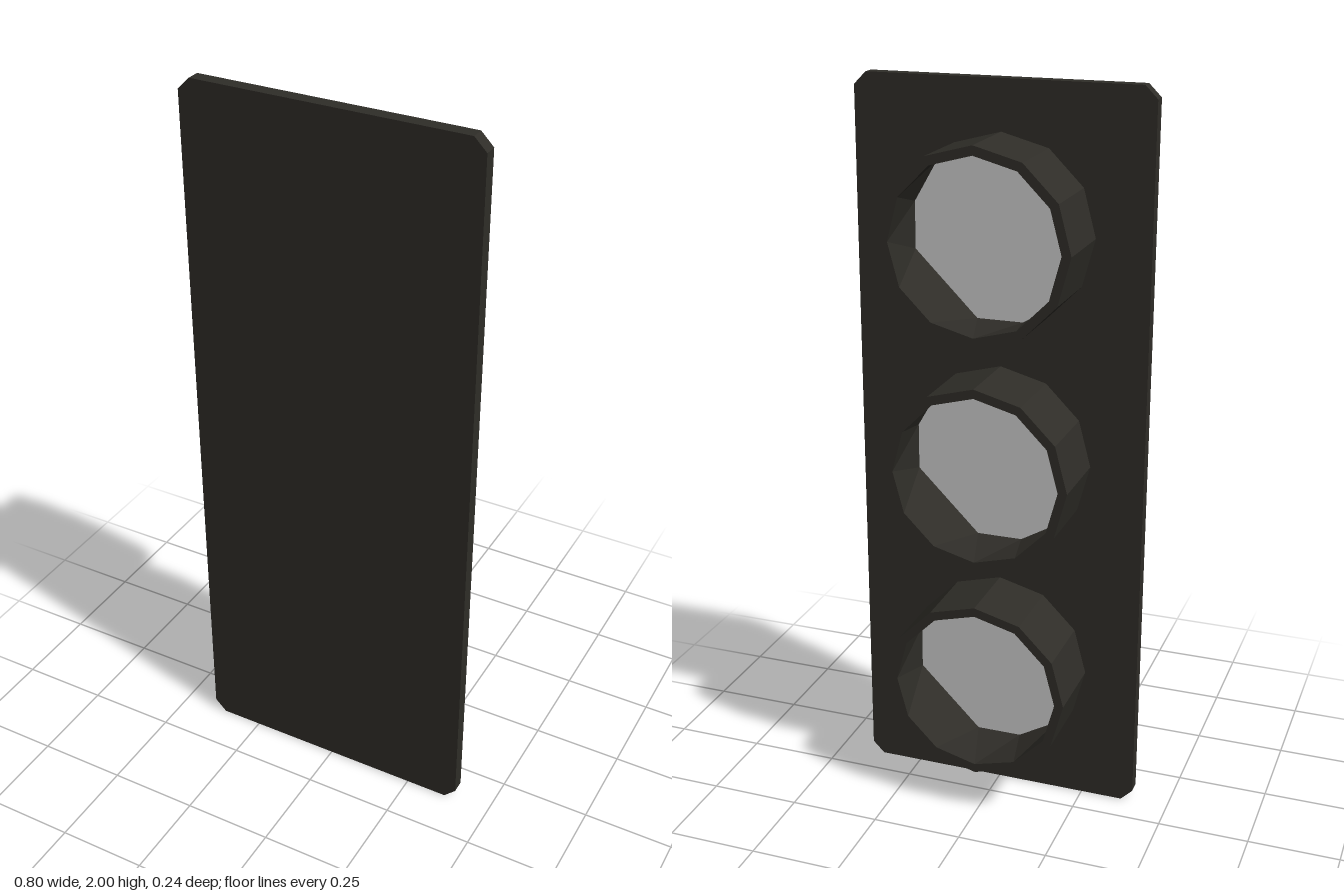
import * as THREE from 'three';

const SIDES = 12;

// One ring of points around the hood axis; reach(j) scales single corners
function ring(radius, z, turn = 0, reach = () => 1) {
  return Array.from({ length: SIDES }, (_, j) => {
    const a = ((j * 30 + turn) * Math.PI) / 180;
    const r = radius * reach(j);
    return new THREE.Vector3(r * Math.cos(a), r * Math.sin(a), z);
  });
}

// Skin between consecutive rings
function loft(rings) {
  const pos = rings.flat().flatMap((p) => [p.x, p.y, p.z]);
  const index = [];
  for (let i = 0; i < rings.length - 1; i++) {
    for (let j = 0; j < SIDES; j++) {
      const a = i * SIDES + j;
      const b = i * SIDES + ((j + 1) % SIDES);
      index.push(a, a + SIDES, b, b, a + SIDES, b + SIDES);
    }
  }
  const g = new THREE.BufferGeometry();
  g.setAttribute('position', new THREE.Float32BufferAttribute(pos, 3));
  g.setIndex(index);
  const flat = g.toNonIndexed();
  flat.computeVertexNormals();
  return flat;
}

export function createModel() {
  const model = new THREE.Group();
  const dark = new THREE.MeshStandardMaterial({ color: 0x2f2d28, flatShading: true });
  const hoodMaterial = dark.clone();
  hoodMaterial.side = THREE.DoubleSide;
  const grey = new THREE.MeshStandardMaterial({ color: 0xcccccc, side: THREE.DoubleSide });

  // Flat panel with clipped corners
  const w = 0.4, h = 2, c = 0.033;
  const outline = new THREE.Shape([
    [-w + c, 0], [w - c, 0], [w, c], [w, h - c],
    [w - c, h], [-w + c, h], [-w, h - c], [-w, c],
  ].map(([x, y]) => new THREE.Vector2(x, y)));
  const panel = new THREE.Mesh(
    new THREE.ExtrudeGeometry(outline, { depth: 0.036, bevelEnabled: false }), dark);
  panel.name = 'panel';
  panel.position.z = 0.085;
  model.add(panel);

  // Three hoods on the back, each with a lens at its bottom
  [1.615, 1.0, 0.385].forEach((y, i) => {
    const unit = new THREE.Group();
    unit.name = ['topLight', 'middleLight', 'bottomLight'][i];
    unit.position.y = y;

    // Base corners flare slightly at the side and, on the upper two, below
    const flare = (j) => (j === 0 ? 1.035 : j === 9 && i < 2 ? 1.065 : 1);
    // Two lens corners are cut straight across
    const cut = (j) => (j === 4 || j === 10 ? Math.cos(Math.PI / 6) : 1);
    const seat = ring(0.243, 0.08, 15, cut);

    const hood = new THREE.Mesh(loft([
      ring(0.253, 0.086, 0, flare),
      ring(0.253, -0.122),
      ring(0.228, -0.122),
      seat,
    ]), hoodMaterial);
    hood.name = 'hood';

    const lens = new THREE.Mesh(new THREE.ShapeGeometry(
      new THREE.Shape(seat.map((p) => new THREE.Vector2(p.x, p.y)))), grey);
    lens.name = 'lens';
    lens.position.z = 0.08;
    unit.add(hood, lens);
    model.add(unit);
  });

  return model;
}
